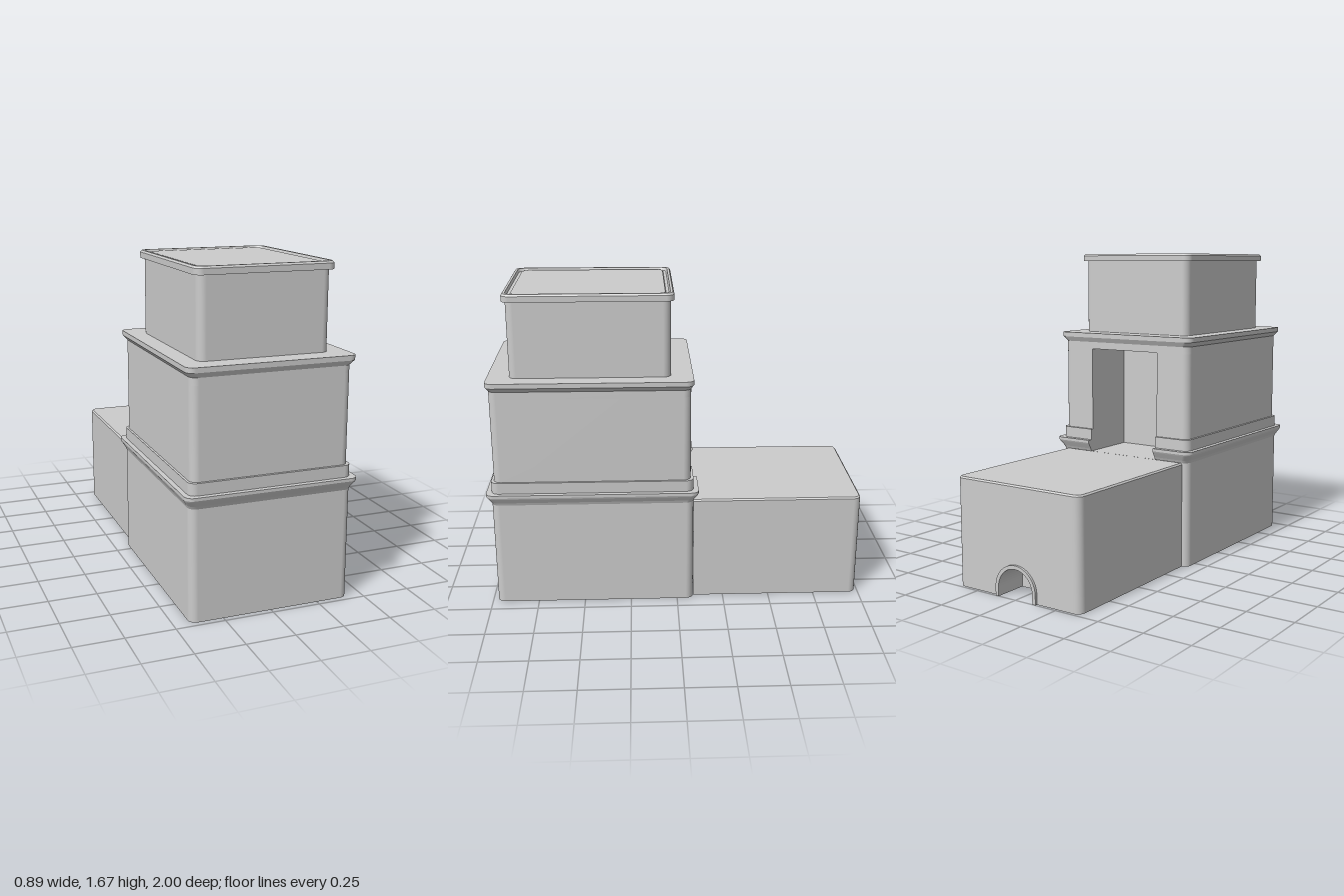
import * as THREE from 'three';

const CZ = 0.443;           // centre of the tower in z
const DOOR = 0.215;         // half width of the rear doorway
const FLOOR = 0.57, LINTEL = 1.15, ALCOVE_Z = 0.235;
const EXT_W = 0.387, EXT_BACK = -0.987, EXT_FRONT = -0.088;

const mat = new THREE.MeshStandardMaterial({ color: 0xcccccc, side: THREE.DoubleSide });

function add(parent, name, geo) {
  const m = new THREE.Mesh(geo, mat);
  m.name = name;
  parent.add(m);
  return m;
}

// Points of a rounded corner, from angle a0 to a1
function corner(cx, cz, r, a0, a1) {
  const pts = [];
  for (let i = 0; i <= 8; i++) {
    const a = a0 + (a1 - a0) * i / 8;
    pts.push([cx + r * Math.cos(a), cz + r * Math.sin(a)]);
  }
  return pts;
}

// Left half of a rounded rectangle, from the back (starting at x = gap) to the front
function halfRing(w, zb, zf, r, gap) {
  return [[gap, zb],
    ...corner(w - r, zb + r, r, -Math.PI / 2, 0),
    ...corner(w - r, zf - r, r, 0, Math.PI / 2),
    [0, zf]];
}

// Left half of a U-shaped wall, open at the front
function halfU(w, zb, zf, r, gap) {
  return [[gap, zb], ...corner(w - r, zb + r, r, -Math.PI / 2, 0), [w, zf]];
}

// Wall strip between two outlines, built on both sides of x = 0
function mirroredStrip(parent, name, a, ya, b, yb) {
  const pos = [], idx = [];
  a.forEach((p, i) => {
    pos.push(p[0], ya, p[1], b[i][0], yb, b[i][1]);
    if (i) {
      const k = i * 2;
      idx.push(k - 2, k - 1, k, k, k - 1, k + 1);
    }
  });
  const g = new THREE.BufferGeometry();
  g.setAttribute('position', new THREE.Float32BufferAttribute(pos, 3));
  g.setIndex(idx);
  g.computeVertexNormals();
  add(parent, name, g);
  add(parent, name, g).scale.x = -1;
}

// Flat horizontal panel closing a half outline and its mirror image
function cap(parent, name, half, y) {
  const all = [...half, ...half.slice().reverse().map(([x, z]) => [-x, z])];
  const g = new THREE.ShapeGeometry(new THREE.Shape(all.map(([x, z]) => new THREE.Vector2(x, -z))));
  g.rotateX(-Math.PI / 2);
  g.translate(0, y, 0);
  add(parent, name, g);
}

// Tower outline: height, half width, half depth
const profile = [
  [0, 0.42, 0.53], [FLOOR, 0.42, 0.53], [0.585, 0.426, 0.537], [0.612, 0.442, 0.553],
  [0.62, 0.445, 0.557], [0.635, 0.445, 0.557], [0.635, 0.42, 0.53], [0.695, 0.42, 0.53],
  [0.695, 0.408, 0.516], [LINTEL, 0.408, 0.516], [1.188, 0.408, 0.516], [1.213, 0.43, 0.53],
  [1.238, 0.43, 0.53], [1.238, 0.336, 0.415], [1.635, 0.336, 0.415], [1.635, 0.355, 0.432],
  [1.665, 0.355, 0.432], [1.675, 0.348, 0.425], [1.675, 0.336, 0.413], [1.66, 0.33, 0.407],
  [1.66, 0.316, 0.392], [1.668, 0.312, 0.388],
];

function partName(y) {
  if (y < FLOOR) return 'lowerWall';
  if (y < 0.69) return 'lowerLedge';
  if (y < 1.18) return 'middleWall';
  if (y < 1.238) return 'middleLedge';
  return y < 1.635 ? 'upperWall' : 'lidRim';
}

function buildTower() {
  const tower = new THREE.Group();
  tower.name = 'tower';
  const ring = ([, w, d], gap) => halfRing(w, CZ - d, CZ + d, 0.04, gap);
  for (let i = 0; i < profile.length - 1; i++) {
    const a = profile[i], b = profile[i + 1];
    // lower storey opens into the annex, middle storey has the doorway
    const gap = b[0] <= FLOOR ? EXT_W - 0.01 : b[0] <= LINTEL ? DOOR : 0;
    mirroredStrip(tower, partName(a[0]), ring(a, gap), a[0], ring(b, gap), b[0]);
  }
  const last = profile[profile.length - 1];
  cap(tower, 'lidPanel', ring(last, 0), last[0]);
  return tower;
}

function buildAlcove() {
  const alcove = new THREE.Group();
  alcove.name = 'doorAlcove';
  const zb = CZ - 0.53, depth = ALCOVE_Z - zb, height = LINTEL - FLOOR;
  // Side walls follow the tower outline, closing the cut ledge ends
  const edge = profile.filter(p => p[0] >= FLOOR && p[0] <= LINTEL);
  const s = new THREE.Shape([
    ...edge.map(p => new THREE.Vector2(-(CZ - p[2]), p[0])),
    new THREE.Vector2(-ALCOVE_Z, LINTEL), new THREE.Vector2(-ALCOVE_Z, FLOOR)]);
  for (const x of [-DOOR, DOOR]) {
    const g = new THREE.ShapeGeometry(s);
    g.rotateY(Math.PI / 2);
    g.translate(x, 0, 0);
    add(alcove, 'alcoveSide', g);
  }
  add(alcove, 'alcoveBack', new THREE.PlaneGeometry(DOOR * 2, height))
    .position.set(0, FLOOR + height / 2, ALCOVE_Z);
  for (const [name, y, z0] of [['alcoveFloor', FLOOR, zb], ['alcoveCeiling', LINTEL, CZ - 0.516]]) {
    const g = new THREE.PlaneGeometry(DOOR * 2, name === 'alcoveFloor' ? depth : ALCOVE_Z - z0);
    g.rotateX(-Math.PI / 2);
    add(alcove, name, g).position.set(0, y, (z0 + ALCOVE_Z) / 2);
  }
  return alcove;
}

// Arch outline standing on the ground, left to right over the top
function archPoints(r, straight) {
  const pts = [new THREE.Vector2(-r, 0)];
  for (let i = 0; i <= 24; i++) {
    const a = Math.PI * (1 - i / 24);
    pts.push(new THREE.Vector2(r * Math.cos(a), straight + r * Math.sin(a)));
  }
  pts.push(new THREE.Vector2(r, 0));
  return pts;
}

function buildAnnex() {
  const annex = new THREE.Group();
  annex.name = 'annex';
  const r = 0.04, flat = EXT_W - r, bevel = 0.008, top = FLOOR - bevel;
  const lower = halfU(EXT_W, EXT_BACK, EXT_FRONT, r, flat);
  const rimLow = halfU(EXT_W, EXT_BACK, EXT_FRONT, r, 0);
  const rimTop = halfU(EXT_W - bevel, EXT_BACK + bevel, EXT_FRONT, r - bevel, 0);
  mirroredStrip(annex, 'annexSide', lower, 0, lower, top);
  mirroredStrip(annex, 'annexRoofEdge', rimLow, top, rimTop, FLOOR);
  cap(annex, 'annexRoof', rimTop, FLOOR);

  // Back wall with the arched opening cut out
  const wall = new THREE.Shape([
    new THREE.Vector2(-flat, 0), ...archPoints(0.12, 0.047),
    new THREE.Vector2(flat, 0), new THREE.Vector2(flat, top), new THREE.Vector2(-flat, top)]);
  const g = new THREE.ShapeGeometry(wall);
  g.rotateY(Math.PI);
  add(annex, 'annexBack', g).position.z = EXT_BACK;

  // Arched niche: raised surround, tunnel and closed end
  const surround = new THREE.Shape([...archPoints(0.127, 0.047), ...archPoints(0.108, 0.047).reverse()]);
  add(annex, 'archSurround', new THREE.ExtrudeGeometry(surround, { depth: 0.18, bevelEnabled: false }))
    .position.z = -1;
  add(annex, 'nicheBack', new THREE.ShapeGeometry(new THREE.Shape(archPoints(0.12, 0.047))))
    .position.z = -0.822;
  return annex;
}

export function createModel() {
  const model = new THREE.Group();
  model.name = 'steppedHouse';
  model.add(buildTower(), buildAlcove(), buildAnnex());
  return model;
}
